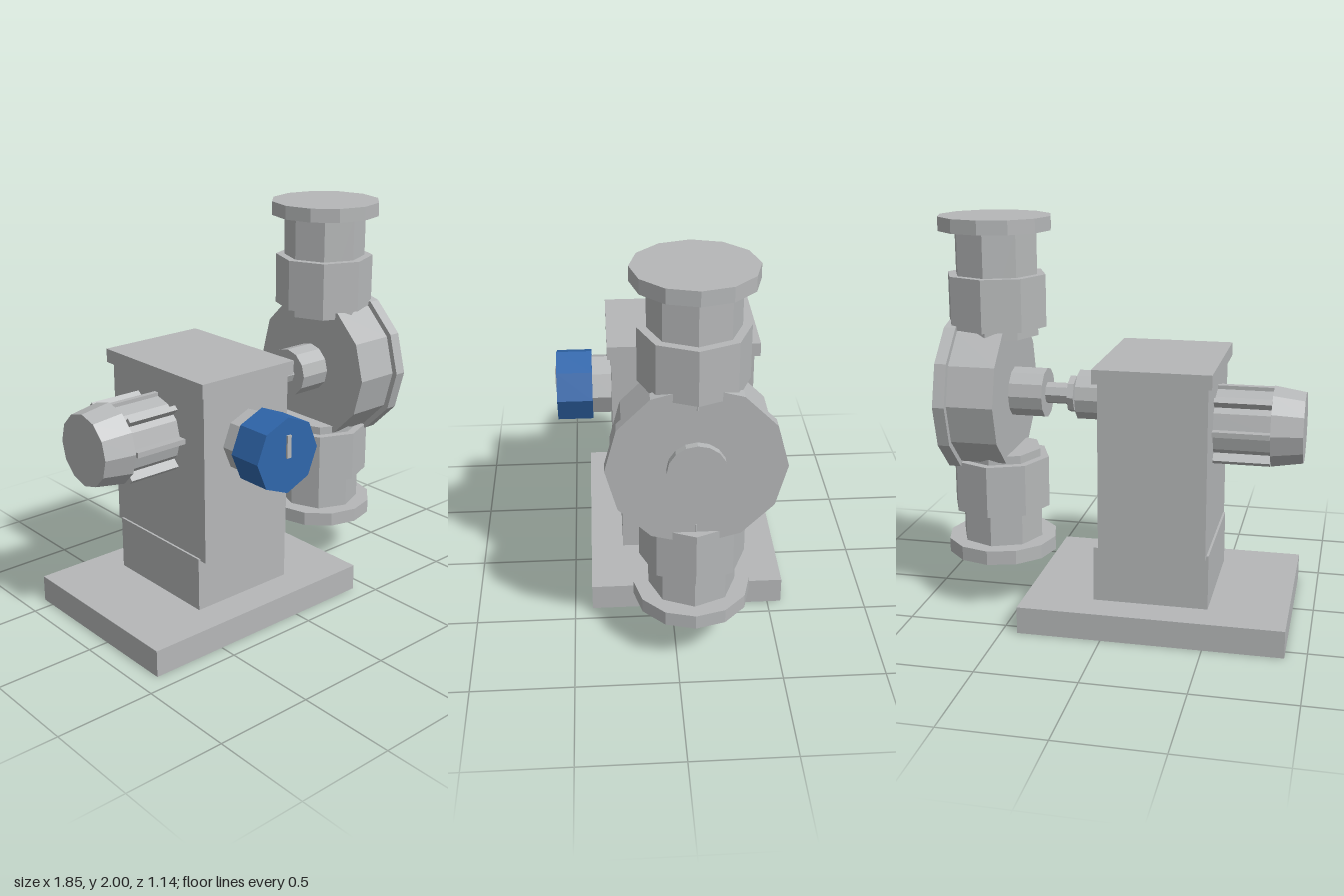
import * as THREE from 'three';

export function createModel() {
  const model = new THREE.Group();
  model.name = 'pump';

  const grey = new THREE.MeshStandardMaterial({ color: 0xb5b7b8, flatShading: true });
  grey.name = 'castGrey';
  const blue = new THREE.MeshStandardMaterial({ color: 0x2f66ab, flatShading: true });
  blue.name = 'knobBlue';

  const AXIS_Z = -0.082; // common centre plane of motor, shaft and pump

  function add(name, geometry, material = grey, parent = model) {
    const mesh = new THREE.Mesh(geometry, material);
    mesh.name = name;
    parent.add(mesh);
    return mesh;
  }

  // Box from its lower and upper limits
  function box(name, x0, x1, y0, y1, z0, z1, material = grey) {
    const geometry = new THREE.BoxGeometry(x1 - x0, y1 - y0, z1 - z0);
    geometry.translate((x0 + x1) / 2, (y0 + y1) / 2, (z0 + z1) / 2);
    return add(name, geometry, material);
  }

  // Cylinder lying along x; r0 at x0, r1 at x1
  function alongX(name, x0, x1, y, r0, r1 = r0, sides = 12) {
    const geometry = new THREE.CylinderGeometry(r1, r0, x1 - x0, sides);
    geometry.rotateZ(-Math.PI / 2).translate((x0 + x1) / 2, y, AXIS_Z);
    return add(name, geometry);
  }

  // Cylinder lying along z
  function alongZ(name, z0, z1, x, y, r, material) {
    const geometry = new THREE.CylinderGeometry(r, r, z1 - z0, 8);
    geometry.rotateX(Math.PI / 2).translate(x, y, (z0 + z1) / 2);
    return add(name, geometry, material);
  }

  // Upright cylinder on the pipe axis
  function upright(name, y0, y1, r, sides) {
    const geometry = new THREE.CylinderGeometry(r, r, y1 - y0, sides);
    geometry.translate(0.635, (y0 + y1) / 2, AXIS_Z);
    return add(name, geometry);
  }

  // Base and gear housing
  box('basePlate', -0.895, 0.42, 0, 0.137, -0.57, 0.41);
  box('pedestal', -0.503, 0.07, 0.137, 0.415, -0.4, 0.24);
  box('housing', -0.492, 0.038, 0.405, 1.26, -0.437, 0.28);
  box('lid', -0.513, 0.06, 1.26, 1.33, -0.465, 0.3);

  // Motor with cooling fins and tapered end cap
  alongX('motorBody', -0.77, -0.49, 1.0, 0.18);
  alongX('motorCap', -0.925, -0.77, 1.0, 0.18, 0.205);
  for (let i = 0; i < 8; i++) {
    const outer = i % 4 === 2 ? 0.195 : 0.22;
    const geometry = new THREE.BoxGeometry(0.28, 0.026, outer - 0.12);
    geometry.translate(-0.63, 0, (outer + 0.12) / 2);
    geometry.rotateX((i * Math.PI) / 4).translate(0, 1.0, AXIS_Z);
    add('motorFin', geometry);
  }

  // Adjusting knob with pointer
  alongZ('knobStem', 0.27, 0.38, -0.217, 0.983, 0.158, grey);
  alongZ('knob', 0.378, 0.56, -0.217, 0.983, 0.19, blue);
  box('knobPointer', -0.228, -0.203, 0.973, 1.086, 0.55, 0.57);

  // Drive shaft between housing and pump
  alongX('shaftBearing', 0.03, 0.208, 1.11, 0.127);
  alongX('shaft', 0.2, 0.4, 1.11, 0.055, 0.055, 8);
  alongX('shaftCollar', 0.225, 0.257, 1.11, 0.094, 0.094, 8);
  alongX('pumpBearing', 0.378, 0.56, 1.11, 0.127);

  // Pump head
  alongX('pumpHead', 0.55, 0.785, 1.11, 0.383);
  alongX('pumpCover', 0.785, 0.845, 1.11, 0.412);
  alongX('coverBoss', 0.84, 0.88, 1.11, 0.137, 0.137, 16);

  // Outlet above and inlet below: neck, union nut, flange
  upright('outletNeck', 1.405, 1.94, 0.212, 8);
  upright('outletNut', 1.45, 1.713, 0.255, 8);
  upright('outletFlange', 1.93, 2.0, 0.285, 12);
  upright('inletNeck', 0.32, 0.81, 0.212, 8);
  upright('inletNut', 0.503, 0.768, 0.255, 8);
  upright('inletFlange', 0.26, 0.333, 0.285, 12);

  return model;
}
